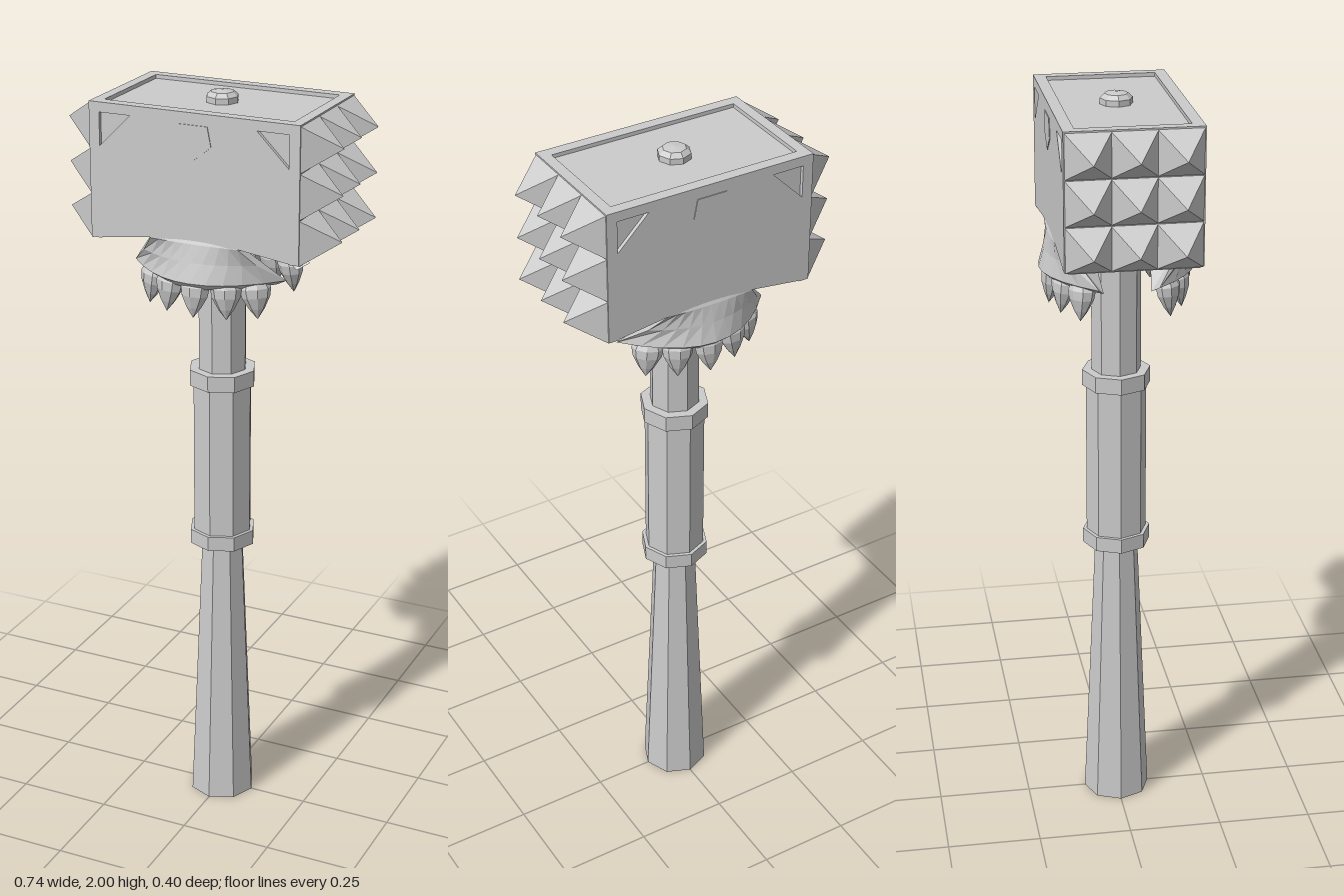
import * as THREE from 'three';

const mat = new THREE.MeshStandardMaterial({ color: 0xcccccc, flatShading: true });
const thin = new THREE.MeshStandardMaterial({ color: 0xcccccc, flatShading: true, side: THREE.DoubleSide });

function add(parent, name, geometry, x = 0, y = 0, z = 0, material = mat) {
  const mesh = new THREE.Mesh(geometry, material);
  mesh.name = name;
  mesh.position.set(x, y, z);
  parent.add(mesh);
  return mesh;
}

// Eight-sided section of the shaft between two heights
function shaft(parent, name, y0, y1, rBottom, rTop) {
  add(parent, name, new THREE.CylinderGeometry(rTop, rBottom, y1 - y0, 8), 0, (y0 + y1) / 2, 0);
}

function slab(points, depth) {
  const shape = new THREE.Shape(points.map(([x, y]) => new THREE.Vector2(x, y)));
  return new THREE.ExtrudeGeometry(shape, { depth, bevelEnabled: false });
}

// Curved collar skirt, built from rows [halfWidth, y, z at centre, z drop at ends]
function skirtGeometry() {
  const rows = [
    [0.11, 1.67, 0.166, 0], [0.12, 1.65, 0.176, 0.006], [0.155, 1.605, 0.186, 0.05],
    [0.21, 1.555, 0.2, 0.125], [0.18, 1.537, 0.18, 0.12], [0.1, 1.6, 0.12, 0.05], [0.1, 1.66, 0.12, 0],
  ];
  const n = 10, pos = [], index = [];
  for (const [w, y, z, drop] of rows) {
    for (let i = 0; i <= n; i++) {
      const u = (i / n) * 2 - 1;
      pos.push(w * u, y, z - drop * u * u);
    }
  }
  for (let r = 0; r < rows.length - 1; r++) {
    for (let i = 0; i < n; i++) {
      const a = r * (n + 1) + i, b = a + n + 1;
      index.push(a, b, a + 1, a + 1, b, b + 1);
    }
  }
  // Close both ends with a fan
  for (const i of [0, n]) {
    for (let r = 1; r < rows.length - 1; r++) {
      const p = i, q = r * (n + 1) + i, s = q + n + 1;
      if (i) index.push(p, q, s); else index.push(p, s, q);
    }
  }
  const g = new THREE.BufferGeometry();
  g.setAttribute('position', new THREE.Float32BufferAttribute(pos, 3));
  g.setIndex(index);
  g.computeVertexNormals();
  return g;
}

function clawGeometry() {
  const profile = [[0, -0.065], [0.02, -0.038], [0.036, -0.008], [0.04, 0.015], [0.028, 0.038], [0, 0.05]];
  const g = new THREE.LatheGeometry(profile.map(([r, y]) => new THREE.Vector2(r, y)), 8);
  return g.scale(1, 1, 0.75);
}

// Everything on one broad side of the head
function buildFace(name) {
  const face = new THREE.Group();
  face.name = name;
  add(face, 'topRim', new THREE.BoxGeometry(0.566, 0.025, 0.012), 0, 1.967, 0.166);
  for (const s of [-1, 1]) {
    add(face, 'sideRim', new THREE.BoxGeometry(0.028, 0.33, 0.012), s * 0.269, 1.797, 0.166);
  }
  // Raised panel with cut upper corners
  add(face, 'panel', slab([
    [-0.255, 1.634], [-0.12, 1.652], [0.12, 1.652], [0.255, 1.634],
    [0.255, 1.87], [0.17, 1.955], [-0.17, 1.955], [-0.255, 1.87],
  ], 0.012), 0, 0, 0.16);
  add(face, 'shield', slab([
    [-0.05, 1.9], [0, 1.86], [0.05, 1.9], [0.04, 1.95], [-0.04, 1.95],
  ], 0.004), 0, 0, 0.17);
  add(face, 'skirt', skirtGeometry(), 0, 0, 0, thin);
  // Row of claws hanging under the skirt
  const claw = clawGeometry();
  for (const [x, z] of [[0, 0.165], [0.078, 0.147], [-0.078, 0.147], [0.143, 0.11], [-0.143, 0.11]]) {
    const mesh = add(face, 'claw', claw, x, 1.522, z);
    mesh.rotation.set(-0.15, x * 4, x * 1.0);
  }
  return face;
}

export function createModel() {
  const model = new THREE.Group();
  model.name = 'warHammer';

  // Shaft
  const handle = new THREE.Group();
  handle.name = 'handle';
  shaft(handle, 'lowerShaft', 0, 0.78, 0.09, 0.057);
  shaft(handle, 'lowerRing', 0.77, 0.81, 0.09, 0.09);
  shaft(handle, 'grip', 0.8, 1.24, 0.08, 0.08);
  shaft(handle, 'upperRing', 1.225, 1.268, 0.09, 0.09);
  shaft(handle, 'upperShaft', 1.25, 1.68, 0.065, 0.065);
  model.add(handle);

  // Head block, its underside rising towards the middle
  const head = new THREE.Group();
  head.name = 'head';
  add(head, 'block', slab([
    [-0.283, 1.628], [-0.12, 1.652], [0.12, 1.652], [0.283, 1.628], [0.283, 1.97], [-0.283, 1.97],
  ], 0.324), 0, 0, -0.162);
  for (const s of [-1, 1]) {
    add(head, 'topRimLong', new THREE.BoxGeometry(0.566, 0.012, 0.03), 0, 1.974, s * 0.157);
    add(head, 'topRimShort', new THREE.BoxGeometry(0.028, 0.012, 0.29), s * 0.269, 1.974, 0);
  }
  const knob = [[0.042, 1.96], [0.042, 1.985], [0.03, 1.996], [0, 2]];
  add(head, 'knob', new THREE.LatheGeometry(knob.map(([r, y]) => new THREE.Vector2(r, y)), 8));

  // Three by three pyramid spikes on each striking end
  const spike = new THREE.ConeGeometry(0.0575 * Math.SQRT2, 0.09, 4).rotateY(Math.PI / 4).rotateZ(-Math.PI / 2);
  for (const s of [-1, 1]) {
    for (let row = 0; row < 3; row++) {
      for (let col = -1; col <= 1; col++) {
        const mesh = add(head, 'spike', spike, s * 0.327, 1.687 + row * 0.116, col * 0.112);
        if (s < 0) mesh.rotation.y = Math.PI;
      }
    }
  }

  const front = buildFace('frontFace');
  const back = buildFace('backFace');
  back.rotation.y = Math.PI;
  head.add(front, back);
  model.add(head);
  return model;
}
